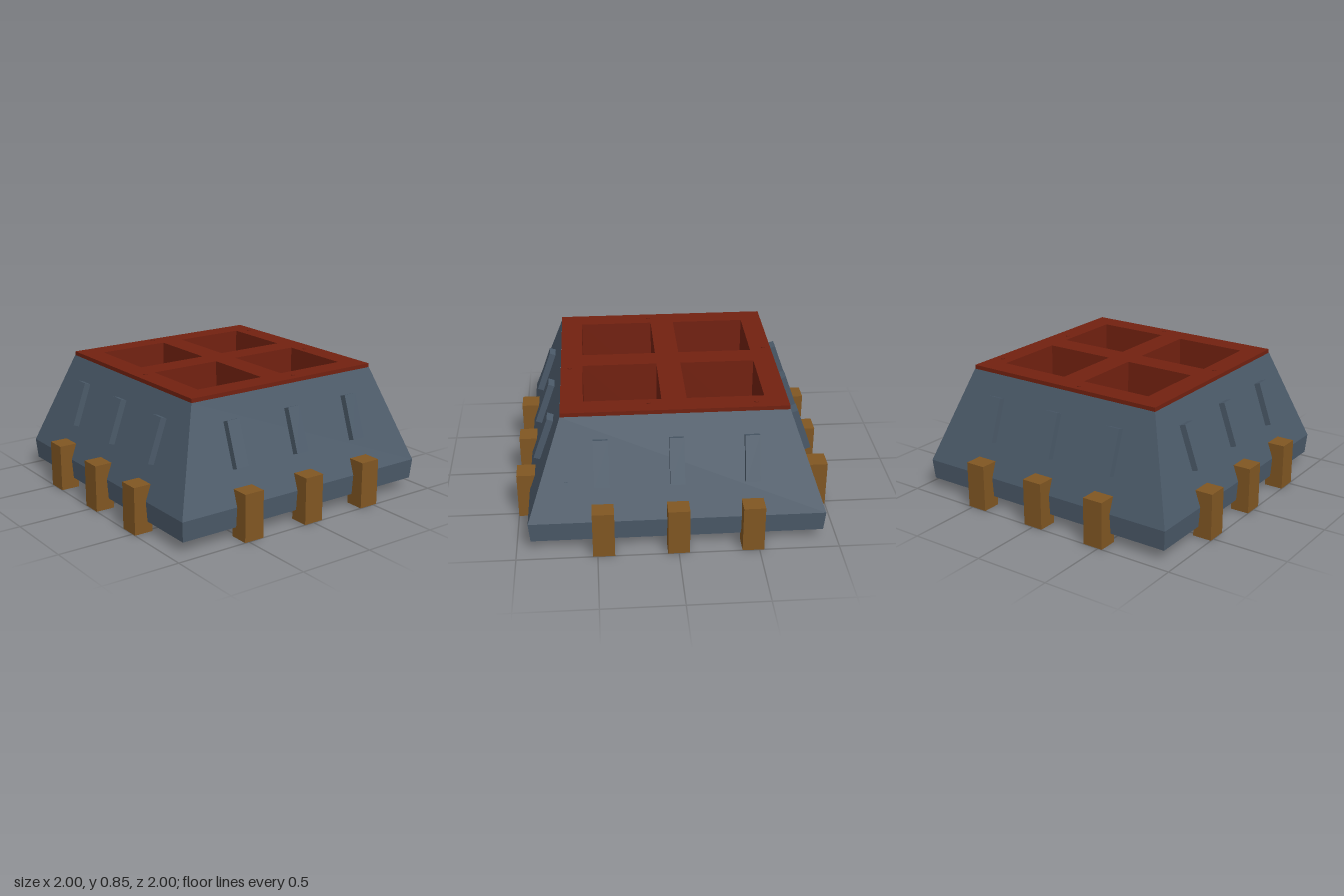
import * as THREE from 'three';

const slate = new THREE.MeshStandardMaterial({ name: 'slate', color: 0x4b5a69 });
const rust = new THREE.MeshStandardMaterial({ name: 'rust red', color: 0x722110 });
const bronze = new THREE.MeshStandardMaterial({ name: 'bronze', color: 0x805622 });

function add(parent, name, geometry, material, x = 0, y = 0, z = 0) {
  const mesh = new THREE.Mesh(geometry, material);
  mesh.name = name;
  mesh.position.set(x, y, z);
  parent.add(mesh);
  return mesh;
}

function rectangle(PathClass, x, y, half) {
  const path = new PathClass();
  path.moveTo(x - half, y - half);
  path.lineTo(x + half, y - half);
  path.lineTo(x + half, y + half);
  path.lineTo(x - half, y + half);
  path.closePath();
  return path;
}

export function createModel() {
  const model = new THREE.Group();
  model.name = 'fourCellBlock';

  // Square tapered body: four-sided lathe of [half width, height]
  const profile = [[0, 0.07], [0.91, 0.07], [0.92, 0.2], [0.7, 0.82]]
    .map(([half, y]) => new THREE.Vector2(half * Math.SQRT2, y));
  const bodyGeometry = new THREE.LatheGeometry(profile, 4, Math.PI / 4).toNonIndexed();
  bodyGeometry.computeVertexNormals();
  add(model, 'body', bodyGeometry, slate);

  // Top deck with four deep square wells
  const floorY = 0.35, topY = 0.845;
  const deck = rectangle(THREE.Shape, 0, 0, 0.698);
  for (const x of [-0.318, 0.318]) {
    for (const z of [-0.318, 0.318]) deck.holes.push(rectangle(THREE.Path, x, z, 0.24));
  }
  const deckGeometry = new THREE.ExtrudeGeometry(deck, { depth: topY - floorY, bevelEnabled: false });
  deckGeometry.rotateX(-Math.PI / 2);
  add(model, 'deckWithWells', deckGeometry, rust, 0, floorY, 0);
  add(model, 'wellFloor', new THREE.BoxGeometry(1.39, 0.02, 1.39), rust, 0, floorY - 0.01, 0);

  // Small rivets on the deck
  const rivet = new THREE.CylinderGeometry(0.013, 0.013, 0.008, 10);
  for (const [x, z] of [[-0.11, -0.65], [0.635, -0.5], [-0.63, 0.09], [0.605, 0.16], [0.11, 0.64]]) {
    add(model, 'deckRivet', rivet, rust, x, topY + 0.001, z);
  }

  // Each side carries three sloped ribs and three bronze feet
  const slope = Math.atan2(0.22, 0.62);
  const rib = new THREE.BoxGeometry(0.09, 0.29, 0.084);
  const foot = new THREE.BoxGeometry(0.135, 0.305, 0.125);
  for (let i = 0; i < 4; i++) {
    const side = new THREE.Group();
    side.name = ['front', 'left', 'back', 'right'][i] + 'Side';
    side.rotation.y = i * Math.PI / 2;
    for (const x of [-0.461, 0, 0.461]) {
      add(side, 'rib', rib, slate, x, 0.548, 0.7965).rotation.x = -slope;
      add(side, 'foot', foot, bronze, x, 0.1525, 0.9375);
    }
    model.add(side);
  }

  // Single rivet on the left flank
  add(model, 'flankRivet', rivet, slate, 0.839, 0.433, 0.675).rotation.z = slope - Math.PI / 2;

  return model;
}
